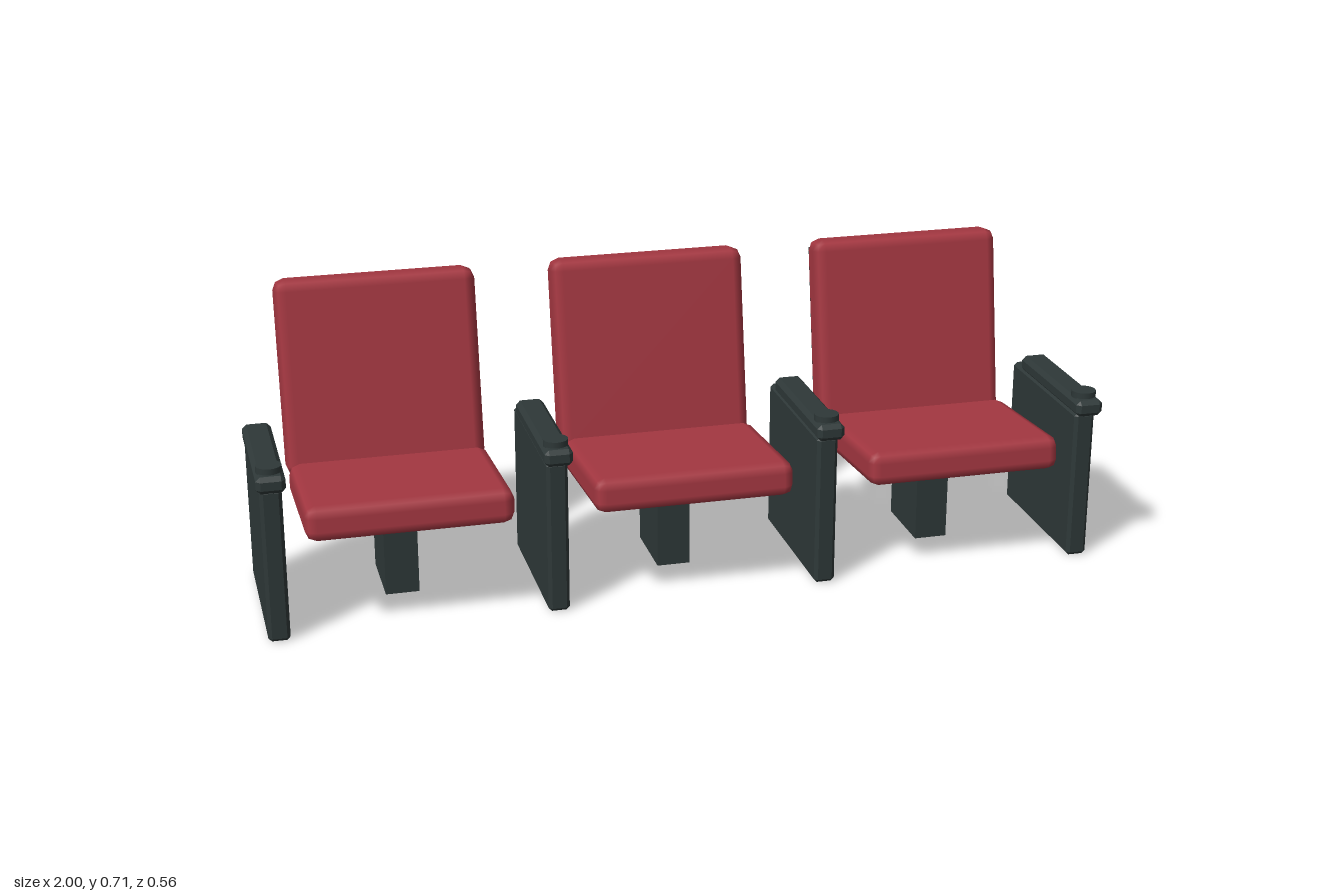
import * as THREE from 'three';
import { RoundedBoxGeometry } from 'three/addons/geometries/RoundedBoxGeometry.js';
import { ConvexGeometry } from 'three/addons/geometries/ConvexGeometry.js';

// Box with every edge cut at 45 degrees
function chamferBox(w, h, d, c) {
  const points = [];
  for (const x of [-1, 1]) for (const y of [-1, 1]) for (const z of [-1, 1]) {
    for (let axis = 0; axis < 3; axis++) {
      const inset = [c, c, c];
      inset[axis] = 0;
      points.push(new THREE.Vector3(
        x * (w / 2 - inset[0]), y * (h / 2 - inset[1]), z * (d / 2 - inset[2])));
    }
  }
  return new ConvexGeometry(points);
}

export function createModel() {
  const model = new THREE.Group();
  model.name = 'seatRow';

  const fabric = new THREE.MeshStandardMaterial({ color: 0xa43741 });
  fabric.name = 'redFabric';
  const frame = new THREE.MeshStandardMaterial({ color: 0x2e3838 });
  frame.name = 'darkFrame';

  const add = (parent, name, geometry, material, x, y, z) => {
    const mesh = new THREE.Mesh(geometry, material);
    mesh.name = name;
    mesh.position.set(x, y, z);
    parent.add(mesh);
    return mesh;
  };

  const seatGeo = new RoundedBoxGeometry(0.475, 0.083, 0.377, 1, 0.026);
  const backGeo = new RoundedBoxGeometry(0.475, 0.471, 0.086, 1, 0.027);
  const shellGeo = new THREE.BoxGeometry(0.45, 0.414, 0.016);
  const pedestalGeo = new THREE.BoxGeometry(0.08, 0.2, 0.18);
  const sideGeo = chamferBox(0.05, 0.37, 0.394, 0.008);
  const armGeo = chamferBox(0.066, 0.04, 0.355, 0.01);
  const cupGeo = new THREE.CylinderGeometry(0.029, 0.029, 0.016, 16);

  // Three seats
  for (const x of [-0.66, 0, 0.66]) {
    const seat = new THREE.Group();
    seat.name = 'seat';
    seat.position.x = x;
    model.add(seat);

    add(seat, 'pedestal', pedestalGeo, frame, 0, 0.1, -0.03);
    add(seat, 'seatCushion', seatGeo, fabric, 0, 0.267, 0.0885).rotation.x = -0.08;

    // Reclined back with its rear shell
    const back = new THREE.Group();
    back.name = 'backrest';
    back.position.set(0, 0.4725, -0.185);
    back.rotation.x = -THREE.MathUtils.degToRad(10);
    seat.add(back);
    add(back, 'backCushion', backGeo, fabric, 0, 0, 0);
    add(back, 'backShell', shellGeo, frame, 0, 0.003, -0.049);
  }

  // Four dividing sides with armrests
  for (const x of [-0.967, -0.322, 0.322, 0.967]) {
    const divider = new THREE.Group();
    divider.name = 'divider';
    divider.position.x = x;
    model.add(divider);
    add(divider, 'sidePanel', sideGeo, frame, 0, 0.185, 0.056);
    add(divider, 'armrest', armGeo, frame, 0, 0.39, 0.1025);
    add(divider, 'cupDisc', cupGeo, frame, 0, 0.416, 0.234);
  }

  return model;
}
